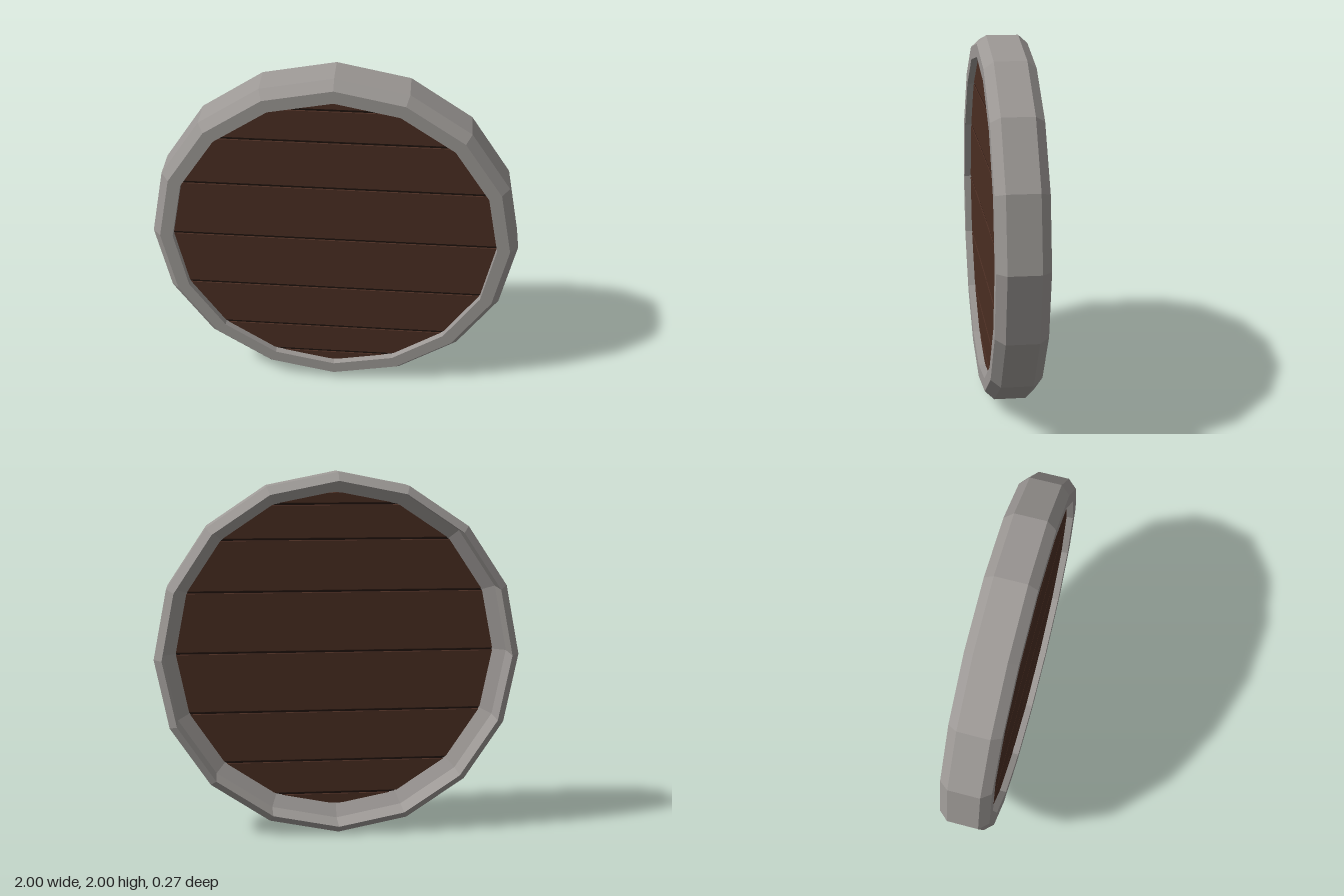
import * as THREE from 'three';
import { ConvexGeometry } from 'three/addons/geometries/ConvexGeometry.js';

const SIDES = 16;
const WOOD_RADIUS = 0.888;
const FRONT = 0.098, BACK = 0.076, MIDDLE = (FRONT + BACK) / 2;
const BEVEL = 0.008;

const metal = new THREE.MeshStandardMaterial({ color: 0x9c9895 });
metal.name = 'grey metal';
const wood = new THREE.MeshStandardMaterial({ color: 0x4a2d22 });
wood.name = 'dark wood';
const gap = new THREE.MeshStandardMaterial({ color: 0x1e120d });
gap.name = 'plank gap';

function addMesh(group, name, geometry, material) {
  const mesh = new THREE.Mesh(geometry, material);
  mesh.name = name;
  group.add(mesh);
  return mesh;
}

// Rim: chamfered band with a front flange, hollow behind
function rimGeometry() {
  const profile = [
    [0.955, -0.135], [1, -0.085], [1, 0.085], [0.955, 0.135],
    [0.885, 0.135], [0.885, 0.08], [0.955, 0.03], [0.955, -0.135],
  ].map(([r, z]) => new THREE.Vector2(r, z));
  const flat = new THREE.LatheGeometry(profile, SIDES).rotateX(Math.PI / 2).toNonIndexed();
  flat.computeVertexNormals();
  return flat;
}

// Height and half width of the wooden disc at each polygon corner
function corner(i) {
  const angle = -Math.PI / 2 + (i * 2 * Math.PI) / SIDES;
  return { y: WOOD_RADIUS * Math.sin(angle), half: Math.max(0, WOOD_RADIUS * Math.cos(angle)) };
}

// Plank between two corner heights, with bevelled long edges
function plankGeometry(low, high) {
  const section = [
    [low.y, MIDDLE], [low.y + BEVEL, FRONT], [high.y - BEVEL, FRONT],
    [high.y, MIDDLE], [high.y - BEVEL, BACK], [low.y + BEVEL, BACK],
  ];
  const points = [];
  for (const [y, z] of section) {
    const t = (y - low.y) / (high.y - low.y);
    const half = THREE.MathUtils.lerp(low.half, high.half, t);
    points.push(new THREE.Vector3(half, y, z));
    if (half > 1e-4) points.push(new THREE.Vector3(-half, y, z));
  }
  return new ConvexGeometry(points);
}

export function createModel() {
  const shield = new THREE.Group();
  shield.name = 'roundShield';
  addMesh(shield, 'rim', rimGeometry(), metal);

  const planks = new THREE.Group();
  planks.name = 'planks';
  shield.add(planks);
  for (let i = 0; i < SIDES / 2; i++) {
    const low = corner(i);
    addMesh(planks, 'plank', plankGeometry(low, corner(i + 1)), wood);
    // Dark strip at the bottom of each groove
    if (i > 0) {
      const strip = new THREE.BoxGeometry(low.half * 2, 0.01, 0.015);
      addMesh(planks, 'plankGap', strip, gap).position.set(0, low.y, MIDDLE);
    }
  }

  shield.position.y = 1;
  const model = new THREE.Group();
  model.add(shield);
  return model;
}
